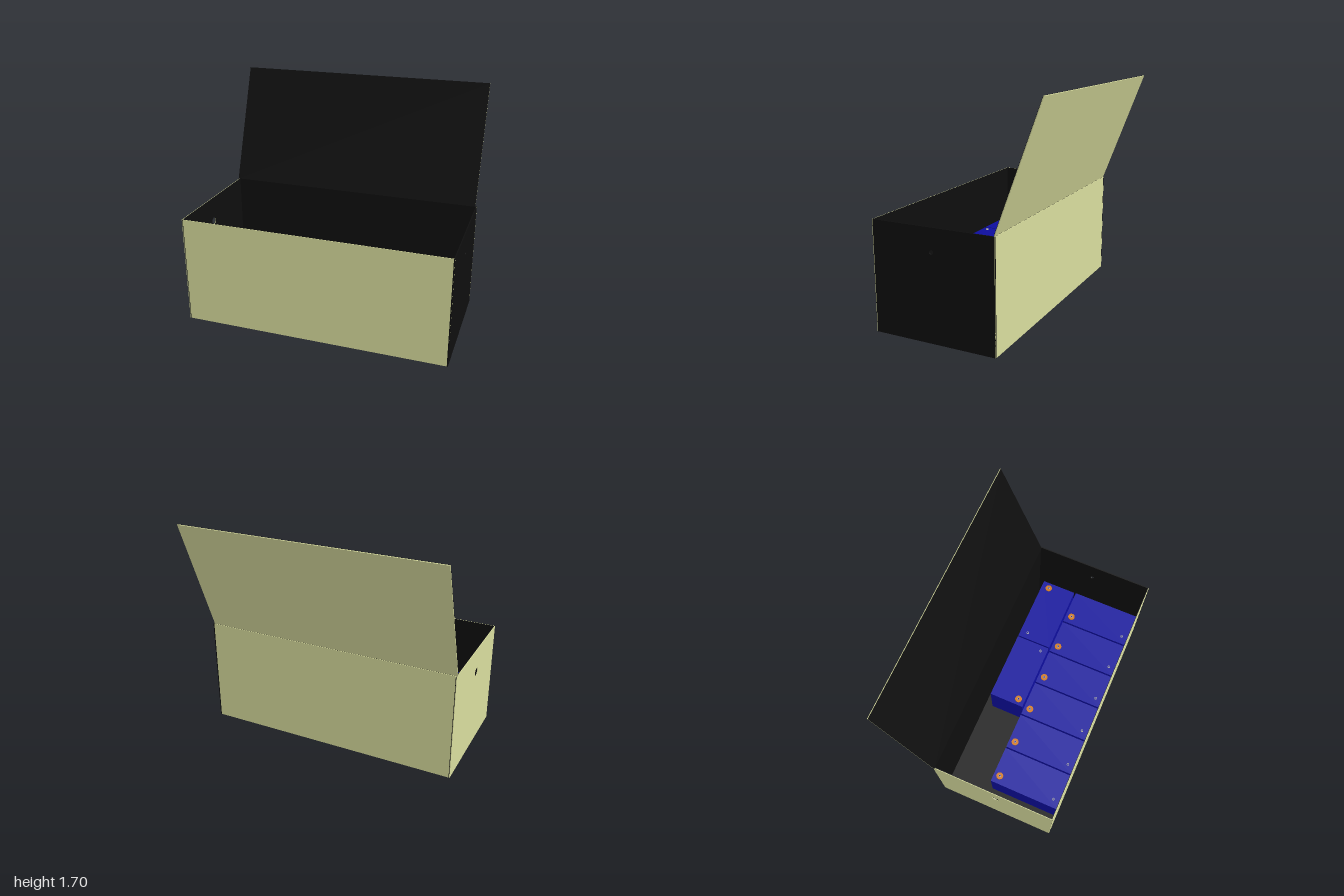
import * as THREE from 'three';

const paint = (color) => new THREE.MeshStandardMaterial({ color });

const X0 = -0.995, X1 = 1, Z0 = -0.31, Z1 = 0.635, H = 0.82; // box extents
const PLY = 0.004; // each panel is two thin plies
const CELL_TOP = 0.36;

export function createModel() {
  const model = new THREE.Group();
  const olive = paint(0xd9dd9e), black = paint(0x0e0e0e);
  const blue = paint(0x0e0e9e), orange = paint(0xd07818), grey = paint(0xcccccc);

  function add(parent, name, geometry, material, x = 0, y = 0, z = 0) {
    const mesh = new THREE.Mesh(geometry, material);
    mesh.name = name;
    mesh.position.set(x, y, z);
    parent.add(mesh);
    return mesh;
  }

  // Box given by its two corners
  function slab(name, material, x0, x1, y0, y1, z0, z1, parent = model) {
    return add(parent, name, new THREE.BoxGeometry(x1 - x0, y1 - y0, z1 - z0), material,
      (x0 + x1) / 2, (y0 + y1) / 2, (z0 + z1) / 2);
  }

  // Floor, front and back walls: olive outside, black inside
  slab('floor', black, X0 + PLY, X1 - PLY, 0, 2 * PLY, Z0 + PLY, Z1 - PLY);
  slab('frontWall', olive, X0, X1, 0, H, Z1 - PLY, Z1);
  slab('frontLining', black, X0 + PLY, X1 - PLY, 0, H, Z1 - 2 * PLY, Z1 - PLY);
  slab('backWall', olive, X0, X1, 0, H, Z0, Z0 + PLY);
  slab('backLining', black, X0 + PLY, X1 - PLY, 0, H, Z0 + PLY, Z0 + 2 * PLY);

  // Side walls with a round cable hole
  function sideWall(name, material, xOuter, holeZ, holeY, radius) {
    const e = 0.0005;
    const shape = new THREE.Shape([
      new THREE.Vector2(Z0 - e, 0), new THREE.Vector2(Z1 + e, 0),
      new THREE.Vector2(Z1 + e, H), new THREE.Vector2(Z0 - e, H),
    ]);
    const hole = new THREE.Path();
    hole.absarc(holeZ, holeY, radius, 0, Math.PI * 2, true);
    shape.holes.push(hole);
    const geometry = new THREE.ExtrudeGeometry(shape,
      { depth: PLY, bevelEnabled: false, curveSegments: 24 });
    add(model, name, geometry, material, xOuter).rotation.y = -Math.PI / 2;
  }
  sideWall('leftWall', black, X1, 0.165, 0.65, 0.016);
  sideWall('leftLining', black, X1 - PLY, 0.165, 0.65, 0.016);
  sideWall('rightWall', olive, X0 + PLY, 0.185, 0.625, 0.032);
  sideWall('rightLining', black, X0 + 2 * PLY, 0.185, 0.625, 0.032);

  // Open lid leaning back from the rear rim
  const lid = new THREE.Group();
  lid.name = 'lid';
  lid.position.set(0, H, -0.3);
  lid.rotation.x = -Math.atan2(0.33, 0.88);
  slab('lidPanel', olive, -1, 0.99, 0, 0.94, -PLY, PLY * 0.5, lid);
  slab('lidLining', black, -1, 0.99, 0, 0.94, PLY * 0.5, PLY, lid);
  model.add(lid);

  // Battery cell with a washered positive and a plain negative terminal
  function cell(name, x0, x1, z0, z1, positive, negative) {
    const group = new THREE.Group();
    group.name = name;
    slab('cellBody', blue, x0, x1, 2 * PLY, CELL_TOP, z0, z1, group);
    const washer = new THREE.CylinderGeometry(0.028, 0.028, 0.006, 24);
    add(group, 'positiveWasher', washer, orange, positive[0], CELL_TOP + 0.003, positive[1]);
    for (const [x, z] of [positive, negative]) {
      const profile = [[0.006, 0], [0.01, 0], [0.01, 0.012], [0.006, 0.012], [0.006, 0]]
        .map(([r, y]) => new THREE.Vector2(r, y));
      add(group, 'terminal', new THREE.LatheGeometry(profile, 16), grey, x, CELL_TOP, z);
      add(group, 'terminalCore', new THREE.CylinderGeometry(0.006, 0.006, 0.008, 12), blue,
        x, CELL_TOP + 0.004, z);
    }
    model.add(group);
  }

  // Front row of six cells
  for (let i = 0; i < 6; i++) {
    const x = -0.845 + i * 0.3;
    cell('frontCell' + (i + 1), x, x + 0.288, 0.06, 0.625, [x + 0.063, 0.11], [x + 0.063, 0.57]);
  }

  // Two cells lying end to end behind them
  cell('backCell1', -0.19, 0.37, -0.24, 0.045, [-0.14, -0.01], [0.32, -0.01]);
  cell('backCell2', 0.38, 0.94, -0.24, 0.045, [0.89, -0.175], [0.43, -0.175]);

  return model;
}
